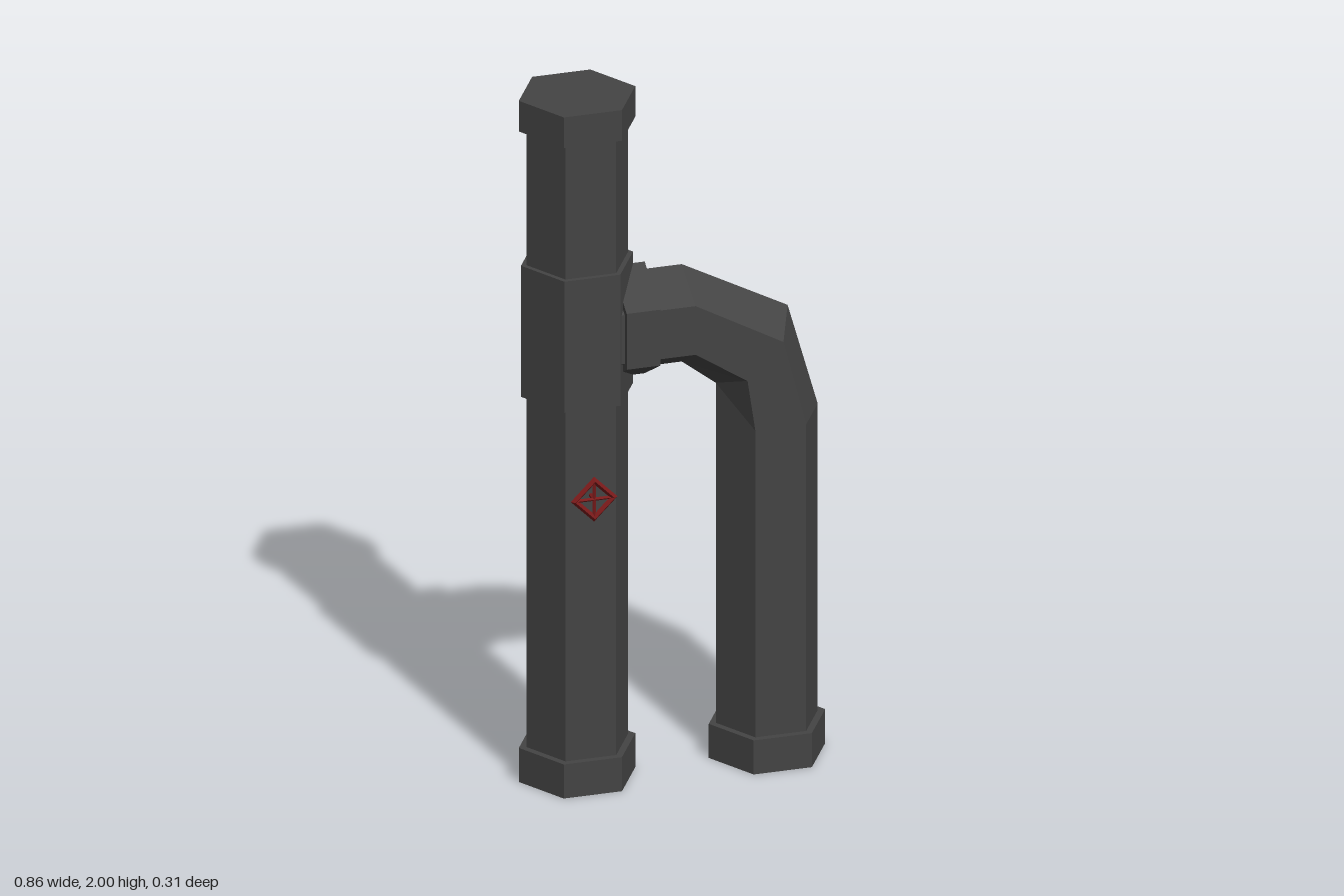
import * as THREE from 'three';

const Z = -0.012; // common depth of both pipes

export function createModel() {
  const group = new THREE.Group();
  const iron = new THREE.MeshStandardMaterial({ color: 0x444444, flatShading: true });
  iron.name = 'dark iron';
  const red = new THREE.MeshStandardMaterial({ color: 0x7a1a1a, flatShading: true });
  red.name = 'valve red';

  const add = (name, geometry, material, x, y, z, parent = group) => {
    const mesh = new THREE.Mesh(geometry, material);
    mesh.name = name;
    mesh.position.set(x, y, z);
    parent.add(mesh);
    return mesh;
  };
  // Upright hexagonal section with corners on the x axis
  const hex = (name, r, x, y0, y1) =>
    add(name, new THREE.CylinderGeometry(r, r, y1 - y0, 6, 1, false, Math.PI / 2), iron, x, (y0 + y1) / 2, Z);

  // Main upright pipe with its flanges and junction collar
  hex('mainPipe', 0.143, -0.27, 0.02, 1.98);
  hex('mainBottomFlange', 0.164, -0.27, 0, 0.1);
  hex('mainTopFlange', 0.164, -0.27, 1.91, 2);
  hex('junctionCollar', 0.158, -0.27, 1.13, 1.515);

  // Side branch flanges
  hex('branchBottomFlange', 0.164, 0.265, 0, 0.1);
  const armFlange = hex('branchArmFlange', 0.164, -0.127, 1.27, 1.365);
  armFlange.rotation.z = Math.PI / 2;

  // Branch pipe: hexagonal rings [x, y, angle of the outer corner]
  const rings = [
    [-0.2, 1.317, Math.PI / 2],
    [0.025, 1.317, Math.PI / 2],
    [0.222, 1.2, Math.PI / 4],
    [0.265, 1.0, 0],
    [0.265, 0.02, 0],
  ];
  const positions = [];
  const indices = [];
  rings.forEach(([x, y, a], i) => {
    for (let k = 0; k < 6; k++) {
      const t = (k * Math.PI) / 3;
      const out = 0.143 * Math.cos(t);
      positions.push(x + out * Math.cos(a), y + out * Math.sin(a), 0.143 * Math.sin(t));
      if (i < rings.length - 1) {
        const p = i * 6 + k, q = i * 6 + ((k + 1) % 6);
        indices.push(p, q, p + 6, q, q + 6, p + 6);
      }
    }
  });
  const branch = new THREE.BufferGeometry();
  branch.setAttribute('position', new THREE.Float32BufferAttribute(positions, 3));
  branch.setIndex(indices);
  branch.computeVertexNormals();
  add('branchPipe', branch, iron, 0, 0, Z);

  // Diamond valve wheel with crossed spokes and a short stem
  const valve = new THREE.Group();
  valve.name = 'valve';
  valve.position.set(-0.27, 0.873, 0.141);
  group.add(valve);
  add('valveWheel', new THREE.TorusGeometry(0.055, 0.011, 4, 4), red, 0, 0, 0, valve);
  for (const turn of [0, Math.PI / 2]) {
    const spoke = add('valveSpoke', new THREE.CylinderGeometry(0.005, 0.005, 0.11, 4), red, 0, 0, 0, valve);
    spoke.rotation.z = turn;
  }
  const stem = add('valveStem', new THREE.CylinderGeometry(0.006, 0.006, 0.04, 6), red, 0, 0, -0.018, valve);
  stem.rotation.x = Math.PI / 2;

  return group;
}
